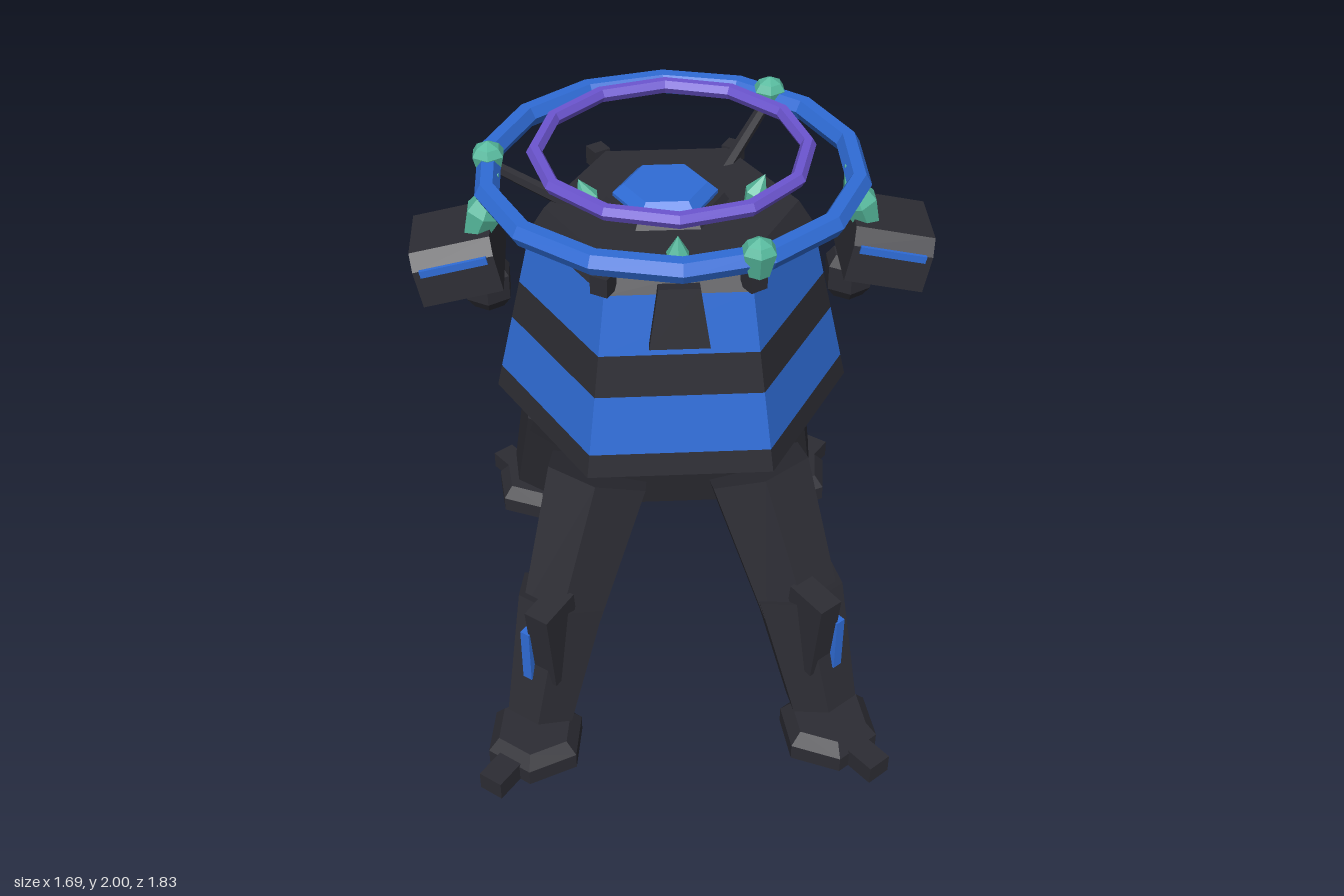
import * as THREE from 'three';

const mat = (name, color) => {
  const m = new THREE.MeshStandardMaterial({ color });
  m.name = name;
  return m;
};
const UP = new THREE.Vector3(0, 1, 0);
const V = (x, y, z) => new THREE.Vector3(x, y, z);

// Gives every face its own normal for a crisp low-poly look
function facet(geometry) {
  const g = geometry.index ? geometry.toNonIndexed() : geometry;
  g.computeVertexNormals();
  return g;
}

export function createModel() {
  const model = new THREE.Group();
  const dark = mat('charcoal', 0x2c2c33);
  const blue = mat('blue', 0x2f6cd6);
  const purple = mat('purple', 0x6c55d0);
  const crystal = mat('crystal green', 0x55b89c);
  const teal = mat('teal', 0x30a59a);

  function add(parent, name, geometry, material, x = 0, y = 0, z = 0) {
    const mesh = new THREE.Mesh(facet(geometry), material);
    mesh.name = name;
    mesh.position.set(x, y, z);
    parent.add(mesh);
    return mesh;
  }
  // Six-sided frustum with corners on +x and -x
  const hex = (rTop, rBottom, h) =>
    new THREE.CylinderGeometry(rTop, rBottom, h, 6, 1, false, Math.PI / 6);
  // Faceted solid of revolution; profile is [radius, y] from bottom to top
  const turned = (profile, sides, start = 0) =>
    new THREE.LatheGeometry(profile.map(p => new THREE.Vector2(...p)), sides, start);
  // Hexagonal bar between two points
  function bar(parent, name, a, b, ra, rb, material = dark) {
    const dir = b.clone().sub(a);
    const mid = a.clone().add(b).multiplyScalar(0.5);
    const mesh = add(parent, name, hex(rb, ra, dir.length()), material, mid.x, mid.y, mid.z);
    mesh.quaternion.setFromUnitVectors(UP, dir.normalize());
    return mesh;
  }
  // Pointed shard standing at a point and leaning along a direction
  function shard(parent, name, base, dir, r, h) {
    const mesh = add(parent, name,
      turned([[0, 0], [r * 0.55, 0], [r, h * 0.45], [0, h]], 6), crystal, base.x, base.y, base.z);
    mesh.quaternion.setFromUnitVectors(UP, dir.clone().normalize());
    return mesh;
  }

  // Banded hexagonal body
  const bodyR = y => 0.6 - 0.14 * (y - 1.08) / 0.62;
  const levels = [1.08, 1.16, 1.36, 1.5, 1.7];
  for (let i = 0; i < 4; i++) {
    const [a, b] = [levels[i], levels[i + 1]];
    add(model, 'bodyBand', hex(bodyR(b), bodyR(a), b - a), i % 2 ? blue : dark, 0, (a + b) / 2, 0);
  }
  add(model, 'lid', hex(0.41, 0.46, 0.08), dark, 0, 1.74, 0);
  add(model, 'pelvis', hex(0.47, 0.4, 0.26), dark, 0, 0.95, 0);

  // Dome on the lid
  add(model, 'domeCollar', hex(0.19, 0.21, 0.03), dark, -0.02, 1.79, -0.02);
  add(model, 'dome', turned([[0.17, 0], [0.17, 0.02], [0.135, 0.05], [0, 0.05]], 6, Math.PI / 6),
    blue, -0.02, 1.797, -0.02);

  // Studs on the lid corners
  for (const x of [-0.23, 0.23]) for (const z of [-0.39, 0.39]) {
    add(model, 'lidStud', new THREE.BoxGeometry(0.06, 0.065, 0.06), dark, x, 1.745, z)
      .rotation.y = Math.atan2(x, z);
  }

  // Shards on the lid and beneath the body
  shard(model, 'lidShard', V(-0.25, 1.76, 0), V(-0.4, 1, 0), 0.04, 0.13);
  shard(model, 'lidShard', V(0.25, 1.76, 0), V(0.4, 1, 0), 0.04, 0.13);
  shard(model, 'lidShard', V(0, 1.74, 0.33), V(0, 1, 0.05), 0.04, 0.13);
  shard(model, 'underShard', V(0.27, 1.1, 0.33), V(0, -1, 0), 0.04, 0.11);

  // Halo rings
  const ring = (name, R, r, sides, y, material) => {
    const g = new THREE.TorusGeometry(R, r, 6, sides);
    g.rotateZ(Math.PI / 2).rotateX(Math.PI / 2);
    return add(model, name, g, material, 0, y, -0.01);
  };
  ring('outerRing', 0.595, 0.04, 14, 1.908, blue);
  ring('innerRing', 0.432, 0.026, 12, 1.977, purple);

  // Ring gems with struts down to the lid
  for (const [x, z] of [[-0.58, -0.065], [0.355, -0.46], [0.225, 0.55]]) {
    add(model, 'ringGem',
      turned([[0, -0.08], [0.035, -0.07], [0.056, 0.01], [0.04, 0.035], [0, 0.055]], 6),
      crystal, x, 1.935, z);
    bar(model, 'ringStrut', V(x * 0.5, 1.75, z * 0.5), V(x * 0.97, 1.9, z * 0.97), 0.024, 0.02);
  }

  // Front plate lying on the sloped front face
  const plateShape = new THREE.Shape([[-0.095, -0.1], [0.095, -0.1], [0.065, 0.1], [-0.065, 0.1]]
    .map(p => new THREE.Vector2(...p)));
  add(model, 'frontPlate', new THREE.ExtrudeGeometry(plateShape, { depth: 0.05, bevelEnabled: false }),
    dark, 0, 1.63, 0.4).rotation.x = -0.19;

  // Back disc
  const disc = new THREE.Group();
  disc.name = 'backDisc';
  disc.position.set(0, 1.295, -0.4);
  disc.rotation.x = -Math.PI / 2;
  model.add(disc);
  const oct = Math.PI / 8;
  add(disc, 'discRim', turned([[0.29, 0], [0.29, 0.11], [0.235, 0.15], [0, 0.15]], 8, oct), dark);
  add(disc, 'discFace', turned([[0.2, 0.14], [0.2, 0.156], [0.17, 0.162], [0, 0.162]], 8, oct), teal);
  add(disc, 'discHub', turned([[0.078, 0.15], [0.078, 0.17], [0.055, 0.185], [0, 0.185]], 6), blue);

  for (const s of [-1, 1]) {
    // Floating shoulder block, its upper edges drawn in
    const shoulder = new THREE.Group();
    shoulder.name = 'shoulder';
    shoulder.position.set(0.695 * s, 1.63, -0.005);
    shoulder.rotation.z = -0.21 * s;
    model.add(shoulder);
    const block = new THREE.Shape([[-0.165, -0.088], [0.165, -0.088], [0.155, 0.04], [0.115, 0.09],
      [-0.115, 0.09], [-0.155, 0.04]].map(p => new THREE.Vector2(...p)));
    const g = new THREE.ExtrudeGeometry(block, { depth: 0.265, bevelEnabled: false });
    g.translate(0, 0, -0.1325).rotateY(Math.PI / 2);
    add(shoulder, 'shoulderBlock', g, dark);
    for (const z of [-0.159, 0.159]) {
      add(shoulder, 'shoulderStripe', new THREE.BoxGeometry(0.22, 0.025, 0.012), blue, 0, 0.032, z);
    }

    // Shoulder shard and floating hand
    shard(model, 'shoulderShard', V(0.645 * s, 1.68, 0.035), V(-0.4 * s, 1, 0), 0.062, 0.27);
    add(model, 'hand', turned([[0, -0.083], [0.058, -0.083], [0.085, -0.045], [0.085, 0.045],
      [0.058, 0.083], [0, 0.083]], 6), dark, 0.62 * s, 1.383, -0.185);
  }

  // Four splayed legs; local +z points outward
  for (const sx of [-1, 1]) for (const sz of [-1, 1]) {
    const leg = new THREE.Group();
    leg.name = 'leg';
    leg.rotation.y = Math.atan2(0.6 * sx, 0.8 * sz);
    model.add(leg);
    bar(leg, 'thigh', V(0, 0.97, 0.44), V(0, 0.5, 0.68), 0.19, 0.15);
    bar(leg, 'shin', V(0, 0.59, 0.66), V(0, 0.165, 0.81), 0.165, 0.128);
    add(leg, 'shinLight', new THREE.BoxGeometry(0.035, 0.21, 0.06), blue, 0, 0.465, 0.847);
    if (sz > 0) {
      add(leg, 'kneePlate', new THREE.BoxGeometry(0.09, 0.32, 0.15), dark, -0.055 * sx, 0.52, 0.79)
        .rotation.x = 0.1;
    }
    // Detached foot with toe
    add(leg, 'foot', turned([[0, 0], [0.175, 0], [0.175, 0.06], [0.135, 0.105], [0, 0.105]], 6, Math.PI / 6),
      dark, 0, 0, 0.855);
    add(leg, 'toe', new THREE.BoxGeometry(0.09, 0.07, 0.16), dark, 0, 0.035, 1.03);
  }
  return model;
}
